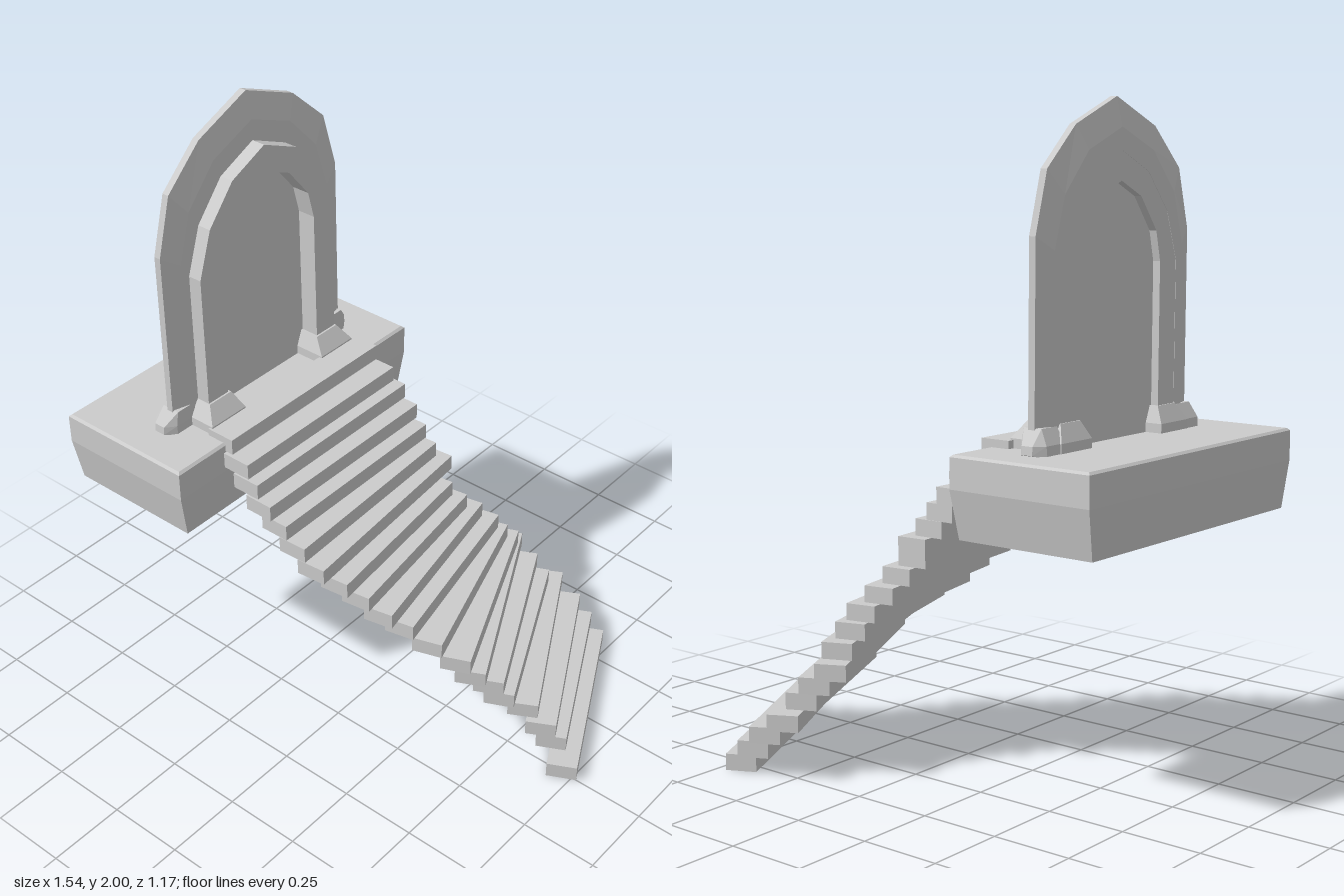
import * as THREE from 'three';
import { ConvexGeometry } from 'three/addons/geometries/ConvexGeometry.js';

const material = new THREE.MeshStandardMaterial({ color: 0xcccccc, flatShading: true });

function add(parent, name, geometry) {
  const mesh = new THREE.Mesh(geometry, material);
  mesh.name = name;
  parent.add(mesh);
  return mesh;
}

// Convex block from stacked rectangles [y, x0, x1, z0, z1]
function block(levels) {
  const points = [];
  for (const [y, x0, x1, z0, z1] of levels)
    for (const x of [x0, x1]) for (const z of [z0, z1]) points.push(new THREE.Vector3(x, y, z));
  return new ConvexGeometry(points);
}

// Pointed arch outline [z, y]: one side from the ground to the peak, then mirrored
function archLine(side) {
  const right = side.slice(0, -1).reverse();
  return [...side.map(([z, y]) => [-z, y]), ...right];
}

// Hollow arch: a closed section of [outline, x] pairs carried along the outlines
function archBand(section) {
  const count = section[0][0].length, n = section.length;
  const positions = [], index = [];
  for (let i = 0; i < count; i++)
    for (const [line, x] of section) positions.push(x, line[i][1], line[i][0]);
  for (let i = 0; i < count - 1; i++)
    for (let j = 0; j < n; j++) {
      const k = (j + 1) % n;
      const a = i * n + j, b = a + n, c = (i + 1) * n + k, d = i * n + k;
      index.push(a, b, c, a, c, d);
    }
  const geometry = new THREE.BufferGeometry();
  geometry.setAttribute('position', new THREE.Float32BufferAttribute(positions, 3));
  geometry.setIndex(index);
  const flat = geometry.toNonIndexed();
  flat.computeVertexNormals();
  return flat;
}

// Steps from top to bottom: centre x, centre z, turn in degrees, length
const STEPS = [
  [-0.32, 0.058, 0, 0.665], [-0.25, 0.063, 0, 0.675], [-0.21, 0.06, 0, 0.69], [-0.157, 0.065, 0, 0.69],
  [-0.108, 0.065, 0.5, 0.67], [-0.053, 0.065, 2.7, 0.667], [0, 0.047, 5, 0.695], [0.05, 0.053, 6.5, 0.6],
  [0.093, 0.018, 8, 0.595], [0.138, -0.02, 11.3, 0.622], [0.18, -0.062, 12, 0.614], [0.23, -0.092, 18, 0.626],
  [0.275, -0.135, 23.5, 0.656], [0.285, -0.173, 27, 0.698], [0.335, -0.198, 26.5, 0.64], [0.37, -0.214, 25.5, 0.62],
  [0.403, -0.275, 28.5, 0.654], [0.473, -0.28, 28, 0.637], [0.513, -0.29, 27, 0.61], [0.575, -0.27, 27, 0.654],
];

export function createModel() {
  const model = new THREE.Group();
  model.name = 'archwayWithStairs';

  // Stone platform, narrowing below
  add(model, 'platform', block([
    [0.785, -0.76, -0.31, -0.42, 0.56],
    [0.93, -0.77, -0.3, -0.45, 0.585],
    [1.02, -0.77, -0.3, -0.45, 0.585],
    [1.027, -0.762, -0.308, -0.442, 0.577],
  ]));

  // Archway
  const arch = new THREE.Group();
  arch.name = 'archway';
  arch.position.z = 0.0655;
  model.add(arch);

  const rim = archLine([[0.375, 1.01], [0.375, 1.62], [0.325, 1.8], [0.195, 1.92], [0, 2]]);
  const shoulder = archLine([[0.315, 1.01], [0.315, 1.58], [0.27, 1.73], [0.16, 1.85], [0, 1.915]]);
  const frame = archLine([[0.285, 1.01], [0.285, 1.53], [0.235, 1.675], [0.135, 1.79], [0, 1.85]]);
  const opening = archLine([[0.202, 1.01], [0.202, 1.53], [0.18, 1.62], [0.1, 1.72], [0, 1.765]]);

  // Surround with a bevelled edge
  add(arch, 'surround', archBand([
    [rim, -0.485], [rim, -0.463], [shoulder, -0.445],
    [frame, -0.445], [frame, -0.505], [shoulder, -0.505],
  ]));

  // Raised inner frame
  add(arch, 'innerFrame', archBand([
    [frame, -0.504], [frame, -0.4], [opening, -0.4], [opening, -0.504],
  ]));

  // Recessed panel closing the opening
  const outline = new THREE.Shape(opening.map(([z, y]) => new THREE.Vector2(z, y)));
  const panel = new THREE.ExtrudeGeometry(outline, { depth: 0.02, bevelEnabled: false });
  panel.rotateY(-Math.PI / 2).translate(-0.46, 0, 0);
  add(arch, 'panel', panel);

  // Feet below the frame and the surround, on both sides
  for (const side of [-1, 1]) {
    add(arch, 'frameFoot', block([
      [1.02, -0.535, -0.357, side * 0.175, side * 0.318],
      [1.055, -0.535, -0.357, side * 0.175, side * 0.318],
      [1.105, -0.508, -0.394, side * 0.195, side * 0.287],
    ]));
    add(arch, 'surroundFoot', block([
      [1.02, -0.532, -0.443, side * 0.3, side * 0.378],
      [1.055, -0.53, -0.443, side * 0.3, side * 0.38],
      [1.03, -0.505, -0.468, side * 0.38, side * 0.412],
      [1.055, -0.505, -0.468, side * 0.38, side * 0.41],
      [1.1, -0.505, -0.445, side * 0.3, side * 0.37],
    ]));
  }

  // Curving flight of floating steps
  const stairs = new THREE.Group();
  stairs.name = 'stairs';
  model.add(stairs);
  STEPS.forEach(([x, z, turn, length], i) => {
    const step = add(stairs, 'step', new THREE.BoxGeometry(0.096, 0.051, length));
    step.position.set(x, 0.0255 + (STEPS.length - 1 - i) * 0.0526, z);
    step.rotation.y = THREE.MathUtils.degToRad(turn);
  });

  return model;
}
